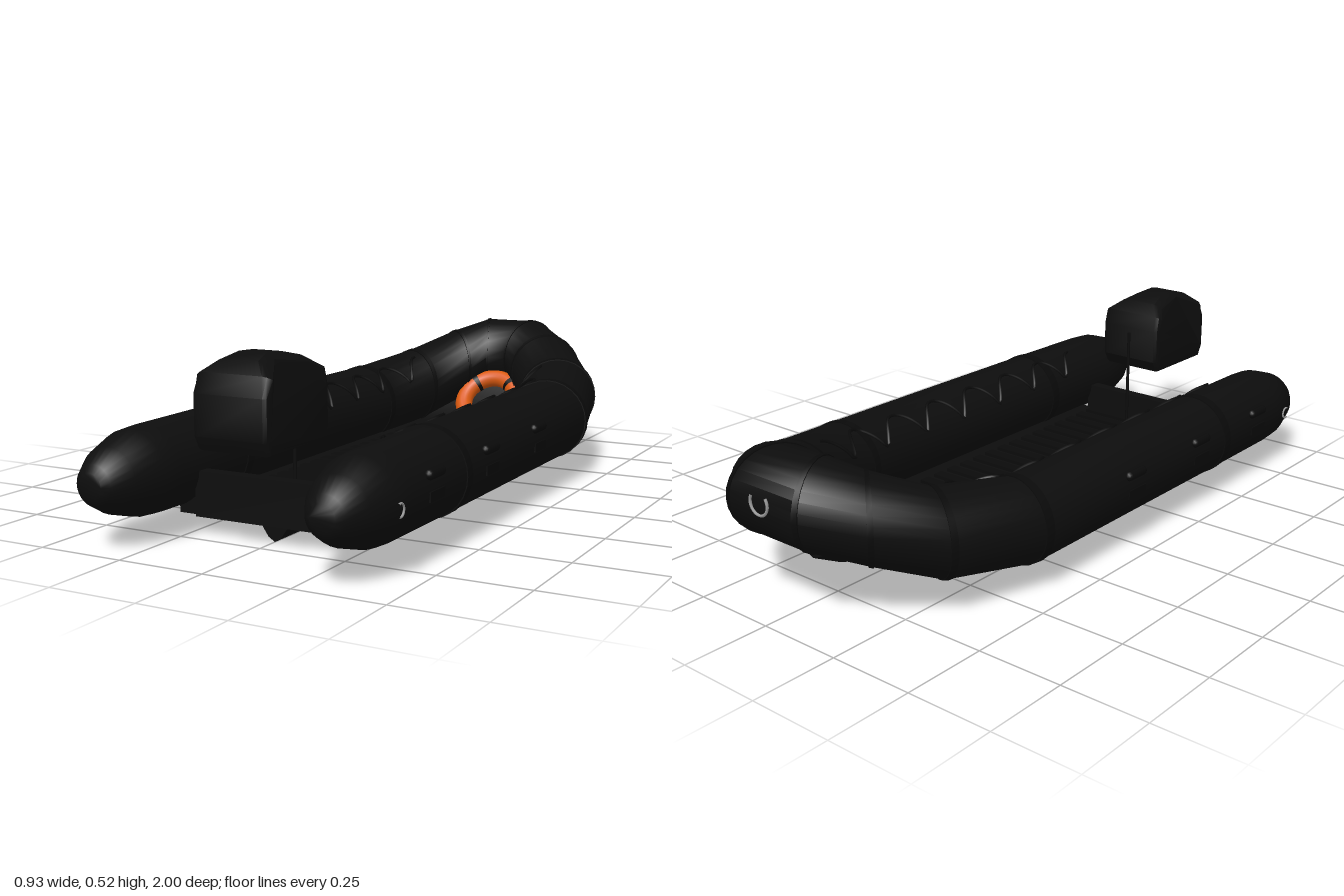
import * as THREE from 'three';
import { toCreasedNormals } from 'three/addons/utils/BufferGeometryUtils.js';

const mat = (name, color) => {
  const m = new THREE.MeshStandardMaterial({ color });
  m.name = name;
  return m;
};
const V = (x, y, z) => new THREE.Vector3(x, y, z);

// Closed cross-sections joined into a skin, with flat end caps
function loft(rings, crease) {
  const n = rings[0].length, last = (rings.length - 1) * n, idx = [];
  for (let i = 0; i < rings.length - 1; i++) {
    for (let j = 0; j < n; j++) {
      const a = i * n + j, b = i * n + (j + 1) % n;
      idx.push(a, b, a + n, b, b + n, a + n);
    }
  }
  for (let j = 1; j < n - 1; j++) {
    idx.push(0, j + 1, j, last, last + j, last + j + 1);
  }
  const g = new THREE.BufferGeometry().setFromPoints(rings.flat());
  g.setIndex(idx);
  g.computeVertexNormals();
  return toCreasedNormals(g, crease);
}

export function createModel() {
  const boat = new THREE.Group();
  boat.name = 'inflatableBoat';
  const rubber = mat('black rubber', 0x0d0d0d);
  const trim = mat('dark trim', 0x0a0a0a);
  const orange = mat('lifebuoy orange', 0xd9590f);
  const steel = mat('steel', 0x9a9a9a);

  const add = (name, geometry, material, x = 0, y = 0, z = 0, parent = boat) => {
    const m = new THREE.Mesh(geometry, material);
    m.name = name;
    m.position.set(x, y, z);
    parent.add(m);
    return m;
  };

  // Side tube: x, y, z, radius from the left stern cone to the bow, then mirrored
  const half = [
    [0.335, 0.176, 1, 0.035], [0.335, 0.176, 0.985, 0.055], [0.335, 0.178, 0.93, 0.088],
    [0.335, 0.18, 0.84, 0.116], [0.335, 0.18, 0.78, 0.12], [0.335, 0.181, 0.47, 0.122],
    [0.335, 0.182, 0, 0.122], [0.335, 0.182, -0.4, 0.122], [0.27, 0.215, -0.65, 0.122],
    [0.17, 0.275, -0.79, 0.122], [0.08, 0.315, -0.87, 0.122],
  ];
  const nodes = [...half, ...half.slice().reverse().map(([x, ...r]) => [-x, ...r])];
  const centres = nodes.map(([x, y, z]) => V(x, y, z));
  const flatDir = (a, b) => b.clone().sub(a).setY(0).normalize();
  // Mitred sideways vector at each node, pointing inboard
  const sides = centres.map((c, i) => {
    const d0 = flatDir(centres[Math.max(i - 1, 0)], centres[Math.max(i, 1)]);
    const k = Math.min(i, centres.length - 2);
    const d1 = flatDir(centres[k], centres[k + 1]);
    const t = d0.clone().add(d1).normalize();
    return V(t.z, 0, -t.x).divideScalar(t.dot(d0));
  });
  const onTube = (u, angle, scale = 1) => {
    const i = Math.min(Math.floor(u), nodes.length - 2), f = u - i;
    const r = THREE.MathUtils.lerp(nodes[i][3], nodes[i + 1][3], f) * scale;
    const p = centres[i].clone().lerp(centres[i + 1], f);
    p.addScaledVector(sides[i].clone().lerp(sides[i + 1], f), r * Math.cos(angle));
    p.y += r * Math.sin(angle);
    return p;
  };
  const ring = (u, scale) =>
    Array.from({ length: 28 }, (_, j) => onTube(u, (j / 28) * Math.PI * 2, scale));
  add('buoyancyTube', loft(nodes.map((_, i) => ring(i)), 0.75), rubber);

  // Seam bands around the tube
  for (const i of [5, 7, 8, 9, 10]) {
    for (const u of [i, nodes.length - 1 - i]) {
      add('seamBand', loft([ring(u - 0.04, 1.025), ring(u + 0.04, 1.025)], 0.75), trim);
    }
  }

  // Scalloped grab rope along the inner face of each side
  for (const mirror of [false, true]) {
    const pts = [];
    for (let k = 0; k <= 120; k++) {
      const z = 0.62 - (k / 120) * 1.22;
      let u = 0;
      while (nodes[u + 1][2] > z) u++;
      u += (nodes[u][2] - z) / (nodes[u][2] - nodes[u + 1][2]);
      const a = 0.4 + 0.75 * Math.abs(Math.cos((k / 120) * Math.PI * 7));
      pts.push(onTube(mirror ? nodes.length - 1 - u : u, a, 1.02));
    }
    add('grabRope', new THREE.TubeGeometry(new THREE.CatmullRomCurve3(pts), 160, 0.005, 5), trim);
  }

  // Hull stations: z, half width, chine height, floor height, keel height, keel half width
  const stations = [
    [0.68, 0.302, 0.045, 0.09, 0.003, 0.045], [-0.25, 0.3, 0.045, 0.09, 0.003, 0.045],
    [-0.45, 0.28, 0.055, 0.09, 0.015, 0.05], [-0.62, 0.24, 0.09, 0.1, 0.043, 0.07],
    [-0.74, 0.17, 0.14, 0.17, 0.085, 0.09], [-0.83, 0.1, 0.19, 0.26, 0.13, 0.08],
  ];
  add('hull', loft(stations.map(([z, w, c, f]) =>
    [V(-w, c, z), V(-w, f, z), V(w, f, z), V(w, c, z)]), 0.6), rubber);
  add('keel', loft(stations.map(([z, , c, , k, w]) => {
    const t = k + 0.2 * (c - k), s = w * 0.42;
    return [V(-w, c + 0.004, z), V(w, c + 0.004, z), V(s, t, z), V(0, k - 0.003, z), V(-s, t, z)];
  }), 0.9), rubber);
  add('transom', new THREE.BoxGeometry(0.46, 0.125, 0.035), rubber, 0, 0.11, 0.69);

  // Floor slats
  for (let z = -0.5; z < 0.66; z += 0.06) {
    add('floorSlat', new THREE.BoxGeometry(0.4, 0.012, 0.034), trim, 0, 0.094, z);
  }

  // Outboard motor cowl: side profile (z, y), tapered towards the top
  const cowl = [[0.9, 0.295], [0.913, 0.32], [0.913, 0.42], [0.9, 0.465], [0.87, 0.49],
    [0.82, 0.502], [0.76, 0.499], [0.7, 0.485], [0.665, 0.46], [0.655, 0.42],
    [0.655, 0.32], [0.67, 0.295]];
  const cowlShape = new THREE.Shape(cowl.map(([z, y]) => new THREE.Vector2(-z, y)));
  let cowlGeo = new THREE.ExtrudeGeometry(cowlShape, {
    depth: 0.19, bevelThickness: 0.014, bevelSize: 0.015, bevelSegments: 2,
  });
  cowlGeo.translate(0, 0, -0.095).rotateY(Math.PI / 2);
  const p = cowlGeo.attributes.position;
  for (let i = 0; i < p.count; i++) {
    const k = THREE.MathUtils.clamp((p.getY(i) - 0.465) / 0.05, 0, 1);
    p.setX(i, p.getX(i) * (1 - 0.58 * k));
  }
  cowlGeo.computeVertexNormals();
  cowlGeo = toCreasedNormals(cowlGeo, 0.5);
  add('motorCowl', cowlGeo, rubber, 0.037, 0, 0);
  add('controlPole', new THREE.CylinderGeometry(0.005, 0.005, 0.32, 8), trim, 0.025, 0.25, 0.617);

  // Lifebuoy leaning against the bow
  const buoy = new THREE.Group();
  buoy.name = 'lifebuoy';
  buoy.position.set(0, 0.175, -0.695);
  buoy.rotation.x = -Math.PI / 4;
  boat.add(buoy);
  add('buoyRing', new THREE.TorusGeometry(0.092, 0.029, 16, 48), orange, 0, 0, 0, buoy);
  for (let i = 0; i < 4; i++) {
    const strap = add('buoyStrap', new THREE.TorusGeometry(0.092, 0.031, 14, 4, 0.2), trim, 0, 0, 0, buoy);
    strap.rotation.z = Math.PI / 4 + i * Math.PI / 2 - 0.1;
  }

  // Carry grips, pads and stern towing rings on both sides
  for (const s of [1, -1]) {
    for (const z of [-0.02, 0.32, 0.655]) {
      add('gripPad', new THREE.BoxGeometry(0.016, 0.026, 0.08), trim, s * 0.451, 0.173, z);
      const grip = add('carryGrip', new THREE.CapsuleGeometry(0.014, 0.06, 4, 10), trim, s * 0.45, 0.227, z);
      grip.rotation.x = Math.PI / 2;
    }
    const towing = add('sternRing', new THREE.TorusGeometry(0.017, 0.003, 6, 18, Math.PI * 1.3), steel, s * 0.453, 0.174, 0.842);
    towing.rotation.set(0, Math.PI / 2, -Math.PI * 0.65);
  }

  // Bow towing ring, hanging in a U
  const bowRing = add('bowRing', new THREE.TorusGeometry(0.032, 0.004, 6, 24, Math.PI * 1.4), steel, 0, 0.335, -0.994);
  bowRing.rotation.z = Math.PI * 0.8;
  return boat;
}
